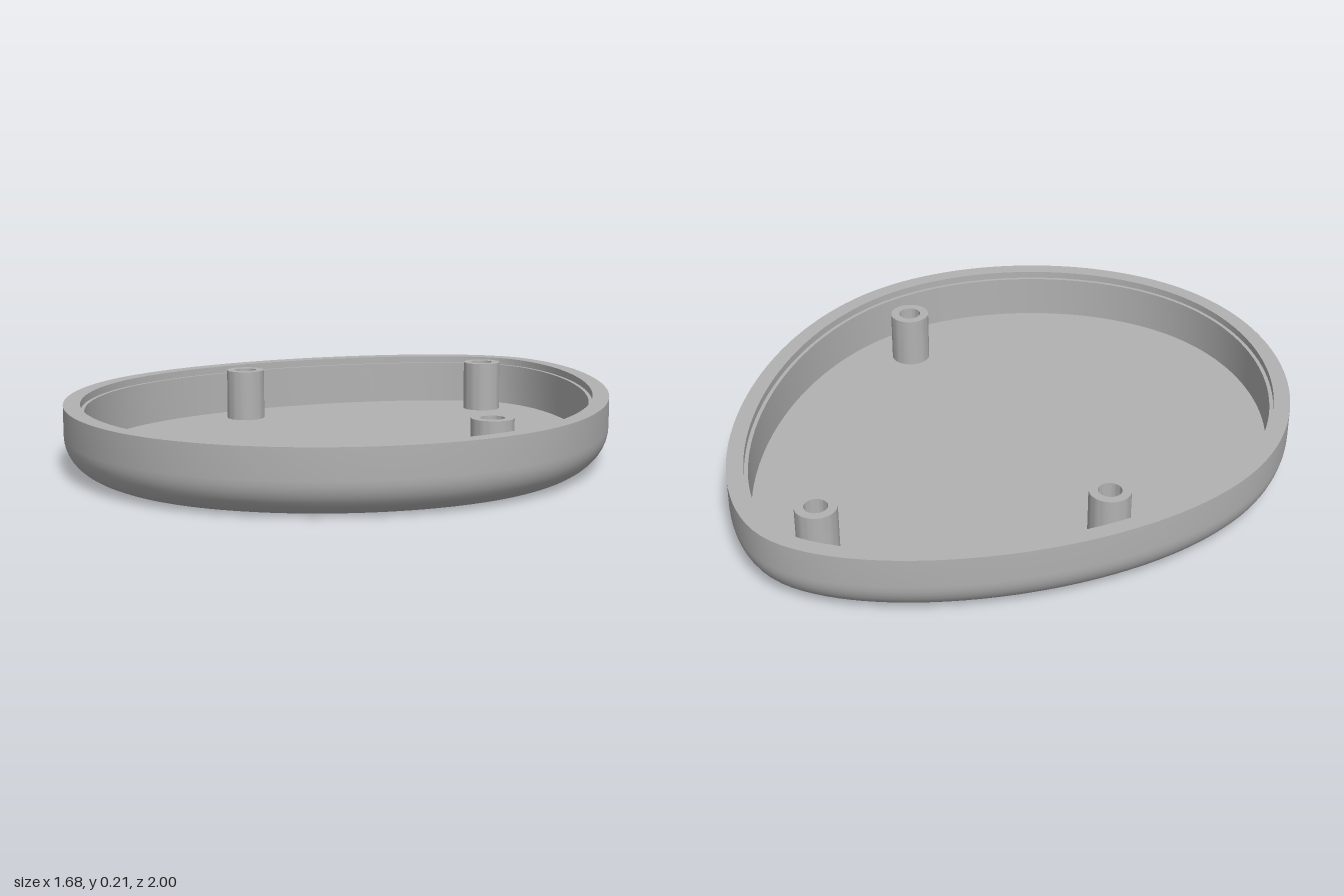
import * as THREE from 'three';
import { toCreasedNormals } from 'three/addons/utils/BufferGeometryUtils.js';

const FLOOR = 0.04, RIM = 0.203, FILLET = 0.11;
const BOSS_R = 0.064, SINK_R = 0.06, HOLE_R = 0.036;
const BOSSES = [[-0.01, -0.8], [-0.585, -0.16], [0.615, 0.205]];

// Egg outline in (x, z): narrow end at the back, mirrored across x
function eggOutline() {
  const v = (x, z) => new THREE.Vector2(x, z);
  const back = new THREE.CubicBezierCurve(v(0, -1), v(0.33, -1), v(0.84, -0.4), v(0.84, 0.15));
  const front = new THREE.CubicBezierCurve(v(0.84, 0.15), v(0.84, 0.6), v(0.43, 1), v(0, 1));
  const half = [...back.getSpacedPoints(40), ...front.getSpacedPoints(36).slice(1)];
  const mirrored = half.slice(1, -1).reverse().map((p) => v(-p.x, p.y));
  return [...half, ...mirrored];
}

// Outline moved inwards by d
function inset(points, d) {
  const n = points.length;
  return points.map((p, i) => {
    const t = points[(i + 1) % n].clone().sub(points[(i + n - 1) % n]).normalize();
    return new THREE.Vector2(p.x - t.y * d, p.y + t.x * d);
  });
}

// Sweep a profile of [inset, height] pairs around the outline
function sweepWall(outline, profile) {
  const n = outline.length, pos = [], index = [];
  for (const [d, y] of profile) for (const p of inset(outline, d)) pos.push(p.x, y, p.y);
  for (let j = 0; j < profile.length - 1; j++) {
    for (let i = 0; i < n; i++) {
      const k = (i + 1) % n;
      const a = j * n + i, b = a + n, c = (j + 1) * n + k, e = j * n + k;
      index.push(a, b, c, a, c, e);
    }
  }
  const g = new THREE.BufferGeometry();
  g.setAttribute('position', new THREE.Float32BufferAttribute(pos, 3));
  g.setIndex(index);
  return toCreasedNormals(g, 0.6);
}

// Flat egg plate with round holes, facing up (1) or down (-1)
function plate(points, holeR, y, facing) {
  const shape = new THREE.Shape(points.map((p) => new THREE.Vector2(p.x, -facing * p.y)));
  for (const [x, z] of BOSSES) {
    const hole = new THREE.Path();
    hole.absarc(x, -facing * z, holeR, 0, Math.PI * 2, true);
    shape.holes.push(hole);
  }
  return new THREE.ShapeGeometry(shape, 20).rotateX(-facing * Math.PI / 2).translate(0, y, 0);
}

export function createModel() {
  const group = new THREE.Group();
  const grey = new THREE.MeshStandardMaterial({ color: 0xb2b2b2 });
  grey.name = 'grey';
  const add = (name, geometry) => {
    const mesh = new THREE.Mesh(geometry, grey);
    mesh.name = name;
    group.add(mesh);
    return mesh;
  };

  const outline = eggOutline();

  // Wall: rounded lower edge, flat rim, stepped lip, inner face
  const profile = [];
  for (let i = 0; i <= 10; i++) {
    const a = (i / 10) * Math.PI / 2;
    profile.push([FILLET * (1 - Math.sin(a)), FILLET * (1 - Math.cos(a))]);
  }
  profile.push([0, RIM], [0.052, RIM], [0.052, 0.18], [0.064, 0.18], [0.064, FLOOR]);
  add('wall', sweepWall(outline, profile));

  // Base: inner floor and underside
  add('floor', plate(inset(outline, 0.064), BOSS_R, FLOOR, 1));
  add('underside', plate(inset(outline, FILLET), SINK_R, 0, -1));

  // Hollow screw posts, countersunk from below
  const post = [
    [BOSS_R, FLOOR], [BOSS_R, 0.207], [HOLE_R, 0.207], [HOLE_R, 0.025], [SINK_R, 0],
  ].map(([r, y]) => new THREE.Vector2(r, y));
  const postGeometry = toCreasedNormals(new THREE.LatheGeometry(post, 40), 0.6);
  BOSSES.forEach(([x, z], i) => {
    add('screwPost' + (i + 1), postGeometry).position.set(x, 0, z);
  });

  return group;
}
